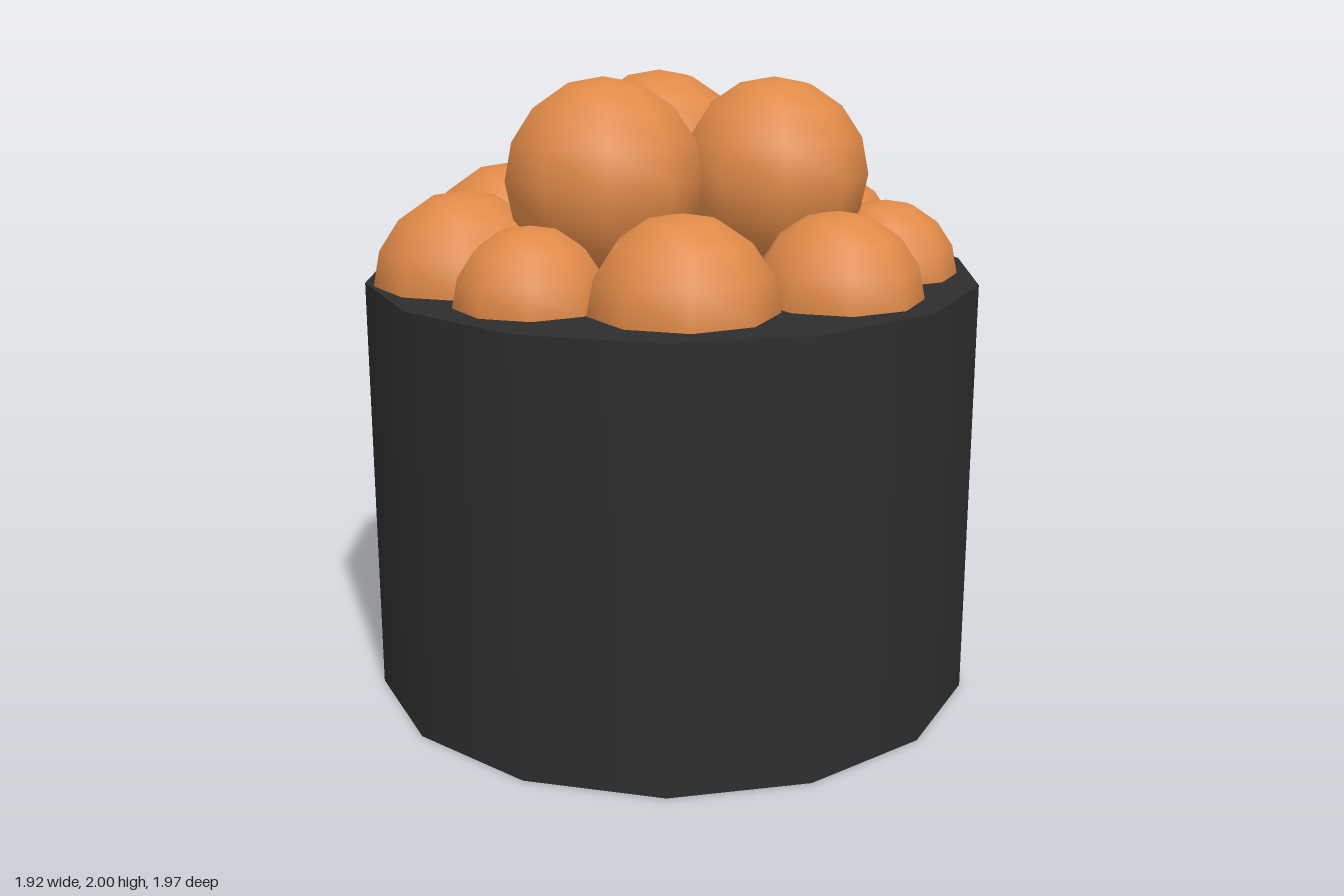
import * as THREE from 'three';

export function createModel() {
  const group = new THREE.Group();
  const charcoal = new THREE.MeshStandardMaterial({ color: 0x2d2d2d });
  charcoal.name = 'charcoal';
  const orange = new THREE.MeshStandardMaterial({ color: 0xe08a48 });
  orange.name = 'orange';

  // Solid fourteen-sided tub
  const rim = 1.36;
  const tub = new THREE.Mesh(new THREE.CylinderGeometry(0.985, 0.985, rim, 14), charcoal);
  tub.name = 'tub';
  tub.position.y = rim / 2;
  group.add(tub);

  // Low-poly balls, one corner of each turned to the back
  const ballGeometry = new THREE.SphereGeometry(1, 9, 8);
  ballGeometry.rotateY(-Math.PI / 2);
  const addBalls = (name, list) => {
    const layer = new THREE.Group();
    layer.name = name;
    list.forEach(([x, y, z, r], i) => {
      const ball = new THREE.Mesh(ballGeometry, orange);
      ball.name = `${name}Ball${i + 1}`;
      ball.position.set(x, y, z);
      ball.scale.setScalar(r);
      layer.add(ball);
    });
    group.add(layer);
  };

  // Ring of balls sunk halfway into the tub: x, y, z, radius
  addBalls('lower', [
    [-0.37, rim, -0.5, 0.31],
    [0.25, rim, -0.56, 0.35],
    [0.62, rim, -0.15, 0.28],
    [0.61, rim, 0.31, 0.235],
    [0.28, rim, 0.58, 0.263],
    [-0.22, rim, 0.55, 0.287],
    [-0.59, rim, 0.28, 0.235],
    [-0.665, rim, -0.11, 0.288],
  ]);

  // Three balls piled on top
  addBalls('upper', [
    [-0.272, 1.69, 0.085, 0.31],
    [0.255, 1.69, 0.205, 0.3],
    [0.07, 1.685, -0.26, 0.297],
  ]);

  return group;
}
